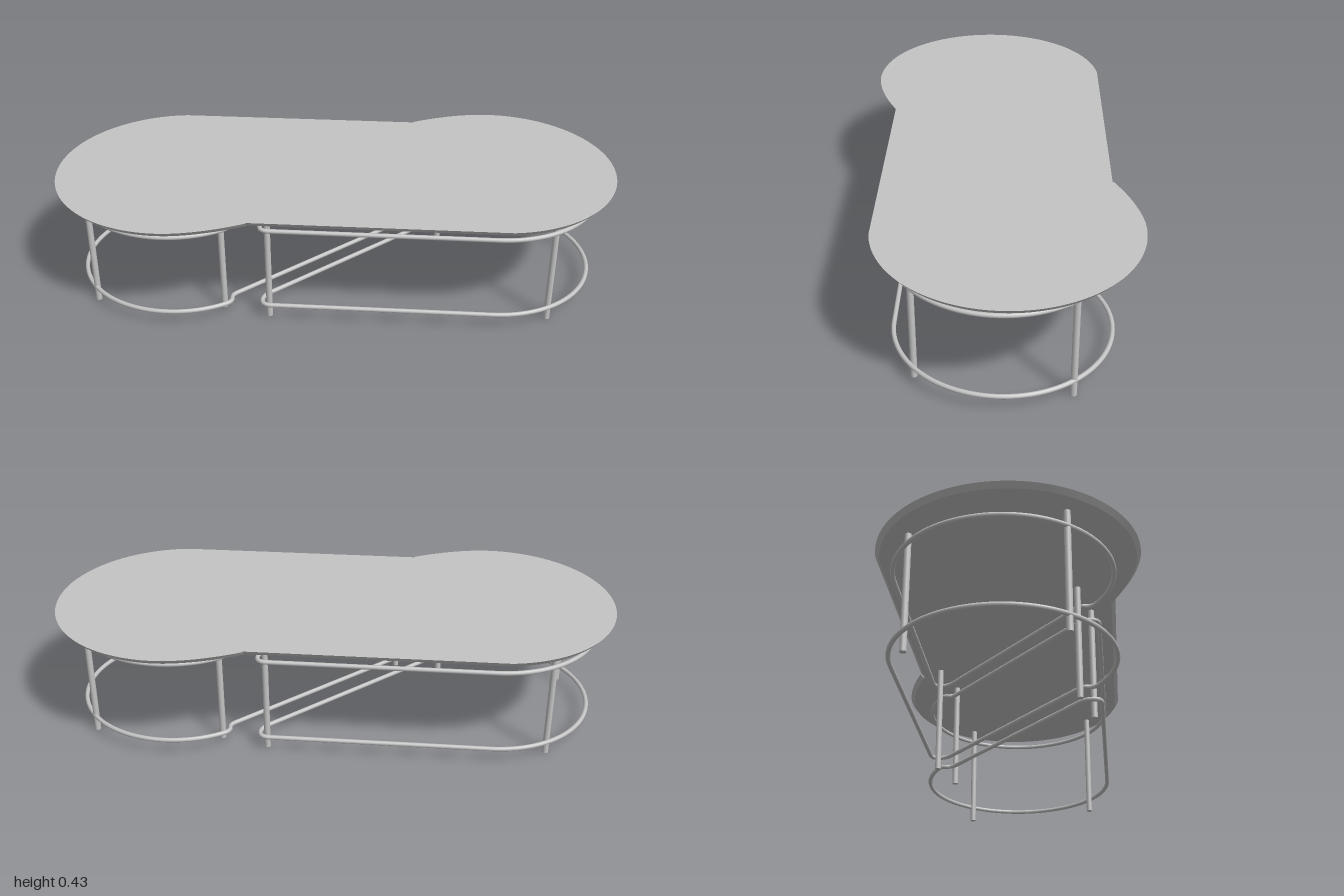
import * as THREE from 'three';
import { toCreasedNormals } from 'three/addons/utils/BufferGeometryUtils.js';

// Plan shapes use (x, z) coordinates for the +x half of the table.
function topOutline() {
  const s = new THREE.Shape();
  s.moveTo(0.312, -0.25);
  s.lineTo(0.302, -0.374);
  s.quadraticCurveTo(0.44, -0.432, 0.56, -0.436);
  s.absarc(0.562, 0.002, 0.438, -Math.PI / 2, Math.PI / 2 - 0.04, false);
  s.lineTo(-0.305, 0.37);
  s.lineTo(-0.318, 0.25);
  s.lineTo(0.312, -0.25);
  return s;
}

function ringOutline() {
  const s = new THREE.Shape();
  s.moveTo(0.36, -0.234);
  s.quadraticCurveTo(0.378, -0.25, 0.37, -0.268);
  s.quadraticCurveTo(0.372, -0.286, 0.385, -0.294);
  s.absarc(0.57, 0.017, 0.362, -2.107, 1.65, false);
  s.lineTo(-0.235, 0.315);
  s.quadraticCurveTo(-0.268, 0.312, -0.262, 0.275);
  s.quadraticCurveTo(-0.258, 0.256, -0.24, 0.24);
  s.lineTo(0.36, -0.234);
  return s;
}

// Slab whose outer rim is chamfered inwards towards the underside
function topGeometry() {
  const geo = new THREE.ExtrudeGeometry(topOutline(), { depth: 0.018, bevelEnabled: false, curveSegments: 48 });
  geo.rotateX(Math.PI / 2);
  const p = geo.attributes.position;
  for (let i = 0; i < p.count; i++) {
    const x = p.getX(i), z = p.getZ(i);
    if (p.getY(i) > -0.009 || (x < 0.57 && Math.abs(z) < 0.3)) continue;
    const dx = Math.max(x - 0.562, 0), len = Math.hypot(dx, z);
    p.setX(i, x - 0.014 * dx / len);
    p.setZ(i, z - 0.014 * z / len);
  }
  return toCreasedNormals(geo, 0.5);
}

function ringGeometry() {
  const pts = ringOutline().getSpacedPoints(150).slice(0, -1);
  const path = new THREE.CatmullRomCurve3(pts.map(q => new THREE.Vector3(q.x, 0, q.y)), true);
  return new THREE.TubeGeometry(path, 220, 0.008, 10, true);
}

export function createModel() {
  const grey = new THREE.MeshStandardMaterial({ color: 0xc4c4c4 });
  grey.name = 'light grey';
  const model = new THREE.Group();
  model.name = 'coffeeTable';

  const top = topGeometry(), ring = ringGeometry();
  const leg = new THREE.CylinderGeometry(0.011, 0.011, 0.418, 14);
  const legSpots = [[0.865, -0.185], [0.745, 0.313], [0.402, -0.232], [-0.238, 0.287]];

  // Two interlocking halves, the second turned half way round
  ['left', 'right'].forEach((side, i) => {
    const half = new THREE.Group();
    half.name = side + 'Half';
    half.rotation.y = i * Math.PI;
    const add = (name, geo, x, y, z) => {
      const m = new THREE.Mesh(geo, grey);
      m.name = name;
      m.position.set(x, y, z);
      half.add(m);
    };
    add('tabletop', top, 0, 0.434, 0);
    add('upperRing', ring, 0, 0.367 - i * 0.006, 0);
    add('lowerRing', ring, 0, 0.06 - i * 0.005, 0);
    for (const [x, z] of legSpots) add('leg', leg, x, 0.209, z);
    model.add(half);
  });
  return model;
}
